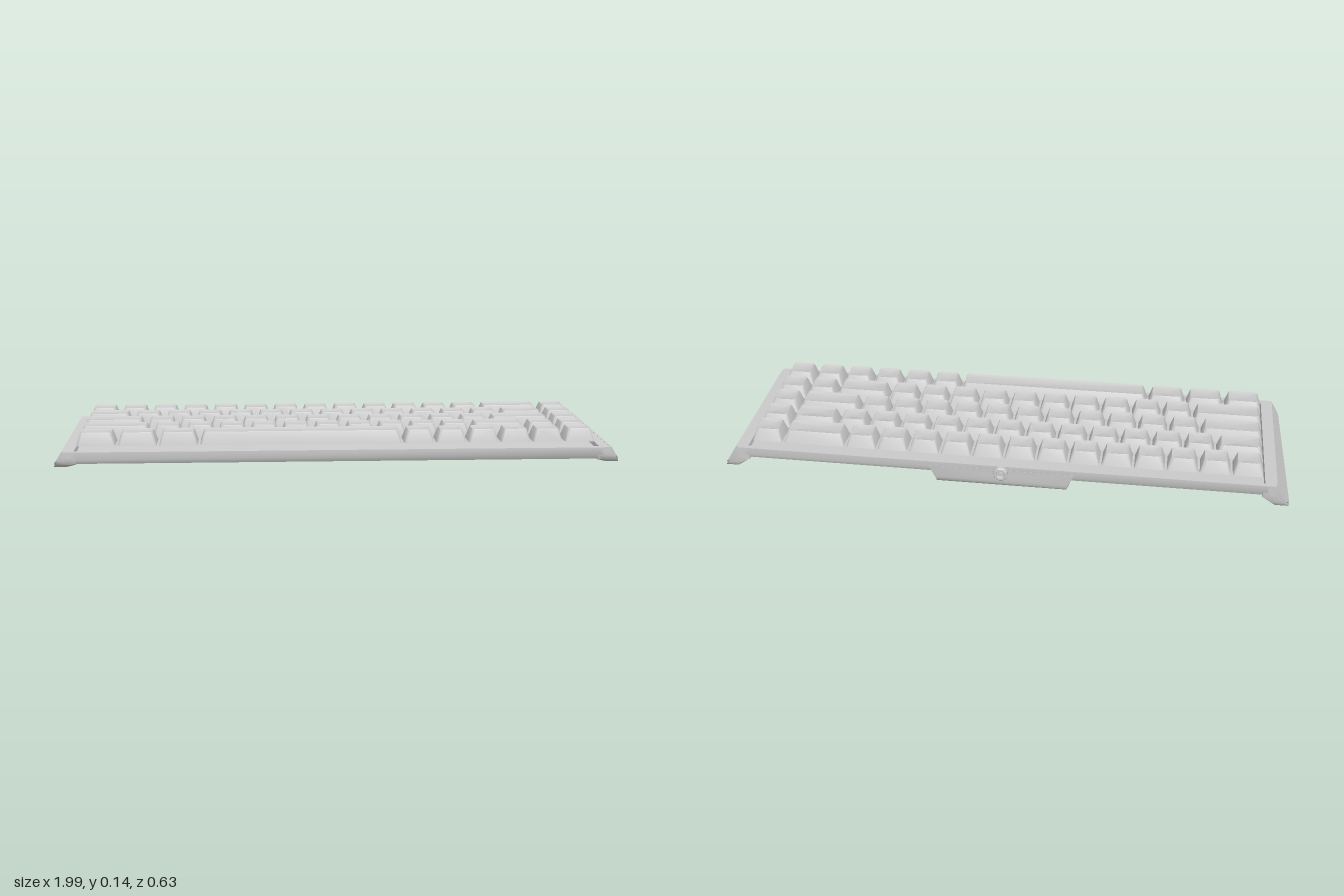
import * as THREE from 'three';
import { toCreasedNormals } from 'three/addons/utils/BufferGeometryUtils.js';

const grey = new THREE.MeshStandardMaterial({ color: 0xcccccc });
grey.name = 'light grey';

// Sloped top and underside of the case
const topY = (z) => 0.056 + (0.305 - z) * 0.056;
const underY = (z) => topY(z) - 0.045;

// Closed solid through rings of [x, y, z]; each ring runs counter-clockwise seen from the first ring's side
function loft(rings, crease = 0.6) {
  const pos = [];
  const tri = (a, b, c) => pos.push(...a, ...b, ...c);
  const n = rings[0].length;
  const middle = (ring) => [0, 1, 2].map((k) => ring.reduce((s, p) => s + p[k], 0) / n);
  for (let r = 0; r < rings.length - 1; r++) {
    for (let i = 0; i < n; i++) {
      const j = (i + 1) % n;
      const [a, b, c, d] = [rings[r][i], rings[r][j], rings[r + 1][j], rings[r + 1][i]];
      tri(a, d, c);
      tri(a, c, b);
    }
  }
  const first = rings[0], last = rings[rings.length - 1];
  for (let i = 0; i < n; i++) {
    const j = (i + 1) % n;
    tri(middle(first), first[i], first[j]);
    tri(middle(last), last[j], last[i]);
  }
  const g = new THREE.BufferGeometry();
  g.setAttribute('position', new THREE.Float32BufferAttribute(pos, 3));
  return toCreasedNormals(g, crease);
}

// Mirror rings across x = 0, keeping the winding
const mirror = (rings) => rings.map((ring) => ring.map(([x, y, z]) => [-x, y, z]).reverse());

// Rounded rectangle seen from above; height follows a function of z
function roundedRing(x0, x1, z0, z1, r, height) {
  const ring = [];
  const corners = [[x1 - r, z0 + r], [x0 + r, z0 + r], [x0 + r, z1 - r], [x1 - r, z1 - r]];
  corners.forEach(([cx, cz], q) => {
    for (let s = 0; s <= 3; s++) {
      const a = (q + s / 3) * Math.PI / 2;
      const z = cz - r * Math.sin(a);
      ring.push([cx + r * Math.cos(a), height(z), z]);
    }
  });
  return ring;
}

// Tapered keycap with a shallow dished top
function keycap(x0, x1, zc, rise) {
  const base = (z) => 0.0735 + rise - (z - zc) * 0.06;
  const top = (drop) => (z) => 0.1175 + rise - (z - zc) * 0.04 - drop;
  const zb = zc - 0.051, zf = zc + 0.051;
  return loft([
    roundedRing(x0 + 0.020, x1 - 0.020, zb + 0.024, zf - 0.016, 0.008, top(0.003)),
    roundedRing(x0 + 0.014, x1 - 0.014, zb + 0.018, zf - 0.010, 0.012, top(0)),
    roundedRing(x0 + 0.012, x1 - 0.012, zb + 0.016, zf - 0.008, 0.012, top(0.003)),
    roundedRing(x0, x1, zb, zf, 0.008, base),
  ], 0.5);
}

export function createModel() {
  const model = new THREE.Group();
  const add = (name, geometry, parent = model) => {
    const mesh = new THREE.Mesh(geometry, grey);
    mesh.name = name;
    parent.add(mesh);
    return mesh;
  };

  // Tilted deck with a raised front and back rim
  const deckProfile = [
    [0.29, underY(0.29)], [-0.28, underY(-0.28)], [-0.296, underY(-0.296) + 0.005],
    [-0.302, underY(-0.302) + 0.018], [-0.302, topY(-0.302)], [-0.285, topY(-0.285)],
    [-0.285, topY(-0.285) - 0.014], [0.298, topY(0.298) - 0.014], [0.298, topY(0.298)],
    [0.316, topY(0.316)], [0.316, underY(0.316) + 0.018], [0.308, underY(0.308) + 0.004],
  ];
  add('deck', loft([0.915, -0.915].map((x) => deckProfile.map(([z, y]) => [x, y, z]))));

  // Side skirts that flare outward down to the ground, with rounded lower corners
  const outerX = (z, y) => 0.945 + (topY(z) - y) * 0.61;
  const skirt = [[0.316, 0.026], [0.311, 0.012], [0.3, 0.004], [0.28, 0.001],
    [-0.266, 0.001], [-0.286, 0.004], [-0.297, 0.012], [-0.302, 0.026]].map(([z, y]) => {
    const t = topY(z), xo = outerX(z, y) - 0.004;
    return [[0.905, t, z], [0.897, Math.max(underY(z), y + 0.002), z], [xo - 0.045, y, z],
      [xo, y, z], [0.941, t, z]];
  });
  // Thin end panel on each flared face
  const panel = [[0.306, 0.024], [0.298, 0.013], [0.285, 0.01],
    [-0.27, 0.01], [-0.283, 0.013], [-0.291, 0.024]].map(([z, y]) => {
    const t = topY(z), xo = outerX(z, y);
    return [[0.939, t + 0.001, z], [xo - 0.006, y, z], [xo + 0.001, y, z], [0.946, t + 0.001, z]];
  });
  add('leftSkirt', loft(skirt));
  add('rightSkirt', loft(mirror(skirt)));
  add('leftEndPanel', loft(panel));
  add('rightEndPanel', loft(mirror(panel)));

  // Rear housing under the deck
  const housing = [[-0.07, 0.004], [-0.27, 0.002], [-0.291, 0.006], [-0.3, 0.016], [-0.303, 0.03]]
    .map(([z, y]) => {
      const t = topY(z) - 0.016;
      return [[-0.255, t, z], [-0.228, y, z], [0.228, y, z], [0.255, t, z]];
    });
  add('rearHousing', loft(housing));

  // Round cable socket on the back
  const socketProfile = [[0.025, 0], [0.025, 0.012], [0.022, 0.015], [0.015, 0.015],
    [0.013, 0.006], [0.006, 0.006], [0.006, 0.012], [0, 0.012]].map(([r, h]) => new THREE.Vector2(r, h));
  const socket = add('cableSocket', toCreasedNormals(new THREE.LatheGeometry(socketProfile, 28), 0.6));
  socket.rotation.x = -Math.PI / 2;
  socket.position.set(0, 0.065, -0.302);

  // Key rows, front to back; widths in key units, sixteen units per row
  const ones = (n) => Array(n).fill(1);
  const rows = [
    [1.25, 1.25, 1.25, 6.25, ...ones(6)],
    [2.25, ...ones(10), 1.75, 1, 1],
    [2, ...ones(11), 2, 1],
    [1.5, ...ones(12), 1.5, 1],
    [...ones(13), 2, 1],
  ];
  const unit = 0.1125;
  rows.forEach((row, r) => {
    const group = new THREE.Group();
    group.name = 'keyRow' + (r + 1);
    model.add(group);
    let x = -0.903;
    for (const w of row) {
      add('keycap', keycap(x + 0.004, x + w * unit - 0.004, 0.229 - r * 0.1108, r * 0.0057), group);
      x += w * unit;
    }
  });
  return model;
}
